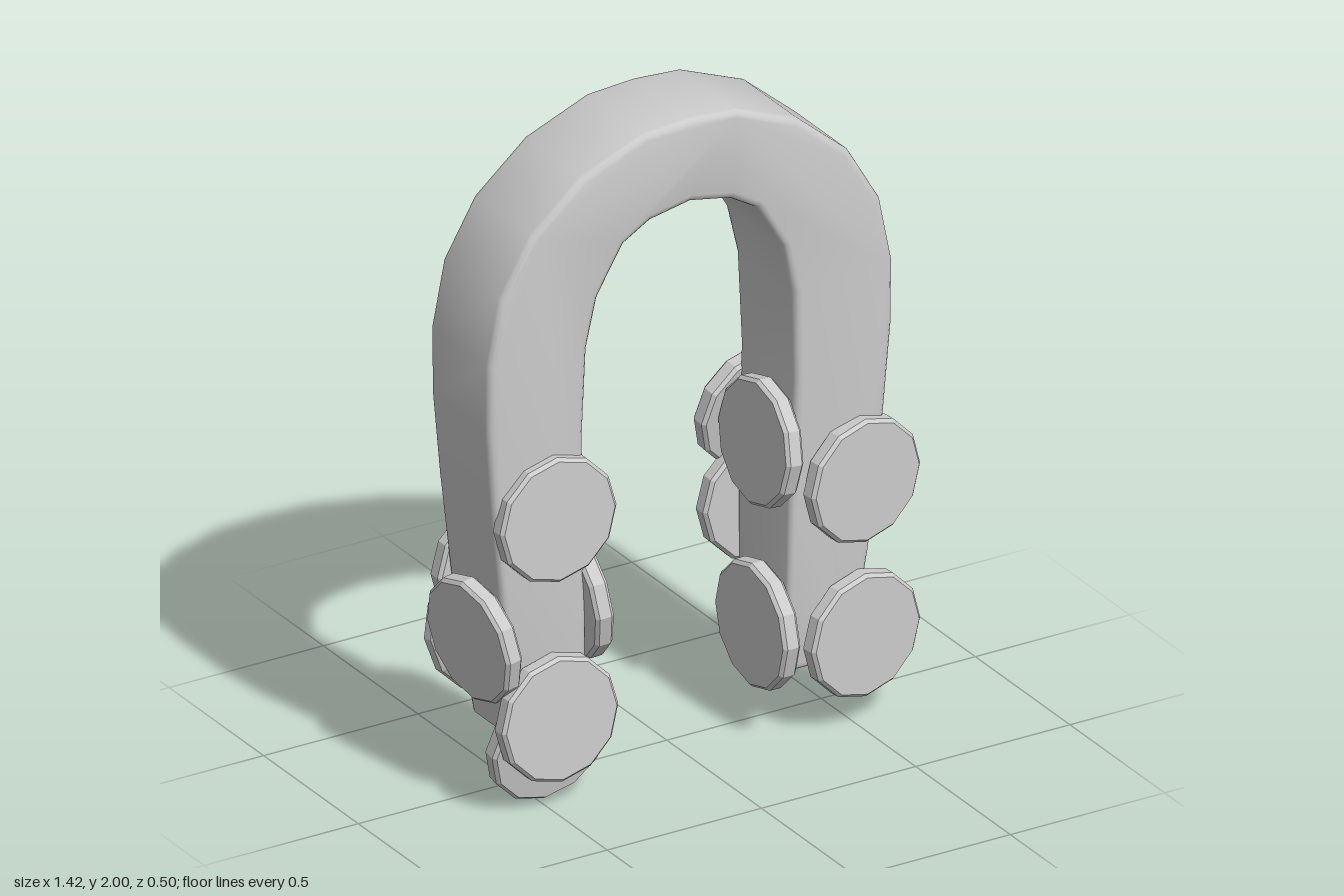
import * as THREE from 'three';
import { toCreasedNormals } from 'three/addons/utils/BufferGeometryUtils.js';

const MID_X = -0.035; // symmetry axis of the horseshoe
const MID_Z = 0.03;

// Half outline of the horseshoe, [distance from its axis, height]
const OUTER = [[0.535, 0.2], [0.59, 0.52], [0.635, 0.95], [0.655, 1.2], [0.655, 1.4],
  [0.615, 1.6], [0.515, 1.77], [0.35, 1.91], [0.15, 1.99], [0, 2.0]];
const INNER = [[0, 1.745], [0.13, 1.72], [0.215, 1.67], [0.3, 1.53], [0.335, 1.38],
  [0.345, 1.1], [0.33, 0.7], [0.325, 0.2]];

// Discs: [name, centre, facing direction]
const DISCS = [
  ['frontUpperRightDisc', [-0.48, 0.89, 0.19], [0, 0.03, 1]],
  ['frontLowerRightDisc', [-0.48, 0.28, 0.2], [0, 0.05, 1]],
  ['frontBottomRightDisc', [-0.48, 0.19, 0.15], [0, -0.2, 1]],
  ['outerRightDisc', [-0.66, 0.51, 0.06], [-1, -0.12, 0.1]],
  ['innerRightDisc', [-0.33, 0.57, 0.06], [1, 0.1, 0.1]],
  ['backUpperRightDisc', [-0.48, 0.62, -0.14], [0, 0, -1]],
  ['backLowerRightDisc', [-0.48, 0.41, -0.175], [0, -0.22, -1]],
  ['frontUpperLeftDisc', [0.515, 0.755, 0.19], [0.1, 0, 1]],
  ['frontLowerLeftDisc', [0.515, 0.28, 0.19], [0.1, 0, 1]],
  ['innerUpperLeftDisc', [0.268, 0.88, 0.06], [-1, 0.07, 0]],
  ['innerLowerLeftDisc', [0.258, 0.32, 0.06], [-1, 0, 0]],
  ['backUpperLeftDisc', [0.38, 0.87, -0.165], [-0.08, 0.17, -1]],
  ['backLowerLeftDisc', [0.38, 0.6, -0.14], [0, 0, -1]],
  ['outerLeftDisc', [0.545, 0.26, -0.065], [1, -0.13, -0.15]],
];

function horseshoeGeometry() {
  const half = [...OUTER, ...INNER];
  const mirrored = half.slice().reverse().filter(([x]) => x > 0).map(([x, y]) => [-x, y]);
  // Walk up the outside, down the inside of one leg, then the other leg
  const left = OUTER.map(([x, y]) => [x, y]);
  const right = mirrored.slice(INNER.length - 1).reverse(); // outer side, bottom to top
  const rightInner = mirrored.slice(0, INNER.length - 1);   // inner side, bottom to top
  const points = [...left, ...right.reverse(), ...rightInner, ...INNER]
    .map(([x, y]) => new THREE.Vector2(x + MID_X, y));

  const bevel = 0.022;
  const depth = 0.32 - 2 * bevel;
  const geometry = new THREE.ExtrudeGeometry(new THREE.Shape(points), {
    depth, bevelThickness: bevel, bevelSize: bevel, bevelOffset: -bevel, bevelSegments: 3,
  });
  geometry.translate(0, 0, -depth / 2);

  // Legs get slightly thinner towards their ends
  const p = geometry.attributes.position;
  for (let i = 0; i < p.count; i++) {
    const t = THREE.MathUtils.clamp((1.4 - p.getY(i)) / 1.2, 0, 1);
    p.setZ(i, MID_Z + p.getZ(i) * (1 - 0.16 * t));
  }
  return toCreasedNormals(geometry, 0.7);
}

// Twelve-sided disc with a narrow chamfer, its axis along z
function discGeometry() {
  const r = 0.189, h = 0.028, c = 0.01;
  const profile = [[0, -h], [r - c, -h], [r, -h + c], [r, h - c], [r - c, h], [0, h]]
    .map(([x, y]) => new THREE.Vector2(x, y));
  return new THREE.LatheGeometry(profile, 12).rotateX(Math.PI / 2);
}

export function createModel() {
  const model = new THREE.Group();
  model.name = 'horseshoeMagnetWithDiscs';

  const magnet = new THREE.Mesh(horseshoeGeometry(),
    new THREE.MeshStandardMaterial({ color: 0xcccccc }));
  magnet.name = 'horseshoeMagnet';
  model.add(magnet);

  // Metal discs clinging to the two poles
  const discMaterial = new THREE.MeshStandardMaterial({ color: 0xcccccc, flatShading: true });
  const disc = discGeometry();
  for (const [name, centre, facing] of DISCS) {
    const mesh = new THREE.Mesh(disc, discMaterial);
    mesh.name = name;
    mesh.position.set(...centre);
    mesh.lookAt(new THREE.Vector3(...centre).add(new THREE.Vector3(...facing)));
    model.add(mesh);
  }
  return model;
}
